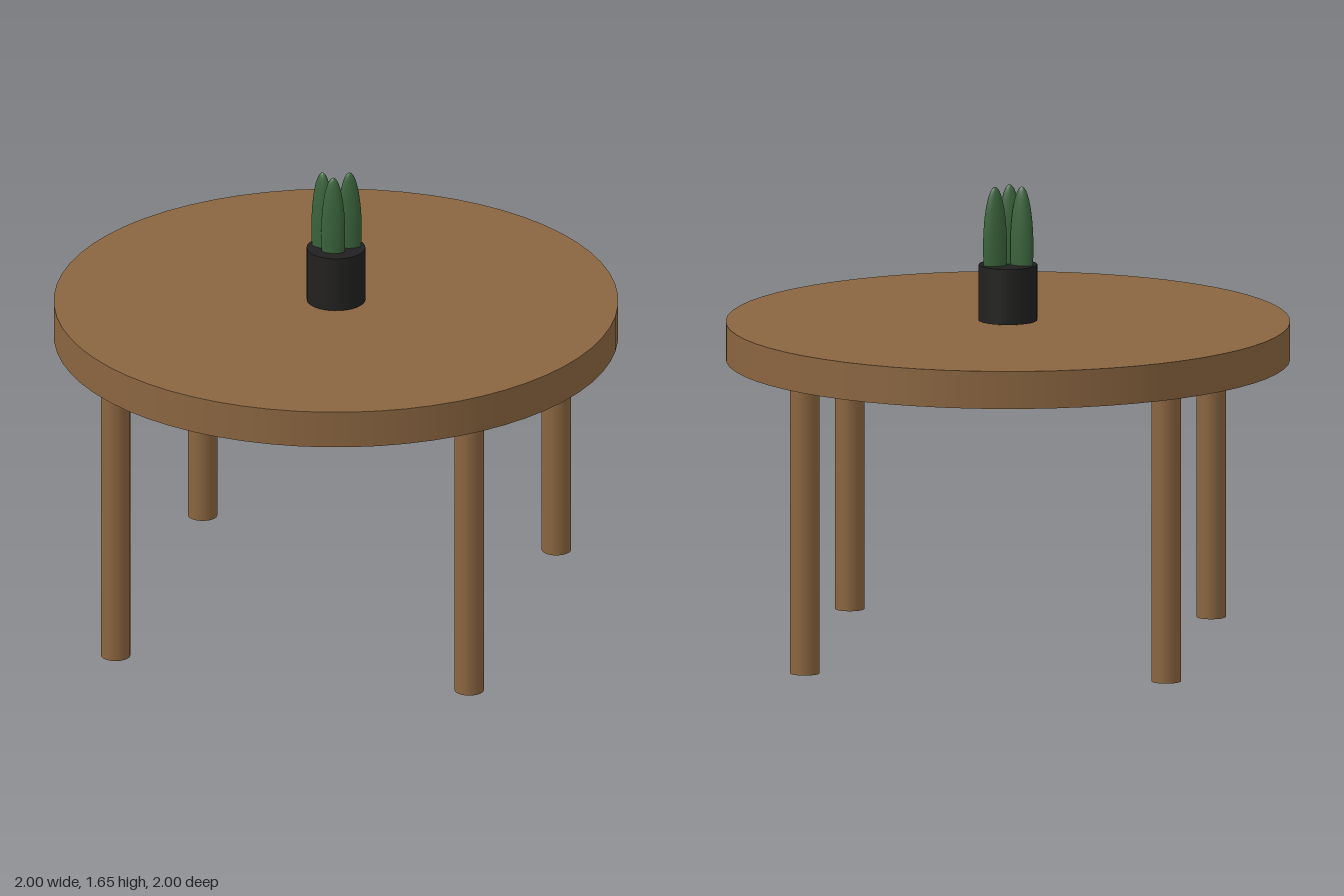
import * as THREE from 'three';

export function createModel() {
  const group = new THREE.Group();
  const wood = new THREE.MeshStandardMaterial({ color: 0x8a6540 });
  const black = new THREE.MeshStandardMaterial({ color: 0x222120 });
  const green = new THREE.MeshStandardMaterial({ color: 0x3a633c });

  const add = (name, geometry, material, x, y, z) => {
    const mesh = new THREE.Mesh(geometry, material);
    mesh.name = name;
    mesh.position.set(x, y, z);
    group.add(mesh);
    return mesh;
  };
  // Solid upright cylinder standing between two heights
  const post = (name, radius, y0, y1, material, x = 0, z = 0, sides = 32) =>
    add(name, new THREE.CylinderGeometry(radius, radius, y1 - y0, sides), material, x, (y0 + y1) / 2, z);

  // Round table on four legs
  post('tableTop', 1, 1.03, 1.165, wood, 0, 0, 64);
  for (const [side, x] of [['Left', 0.645], ['Right', -0.645]]) {
    post(`front${side}Leg`, 0.052, 0, 1.03, wood, x, 0.645);
    post(`back${side}Leg`, 0.052, 0, 1.03, wood, x, -0.645);
  }

  // Plant pot
  post('pot', 0.104, 1.17, 1.37, black);

  // Three flattened cactus stems: x, z, turn about the vertical
  const stem = new THREE.SphereGeometry(1, 32, 24);
  const stems = [[-0.05, -0.004, -0.25], [0.043, -0.026, 0.3], [-0.002, 0.033, 0.1]];
  stems.forEach(([x, z, turn], i) => {
    const mesh = add(`cactusStem${i + 1}`, stem, green, x, 1.435, z);
    mesh.scale.set(0.043, 0.217, 0.025);
    mesh.rotation.y = turn;
  });

  return group;
}
